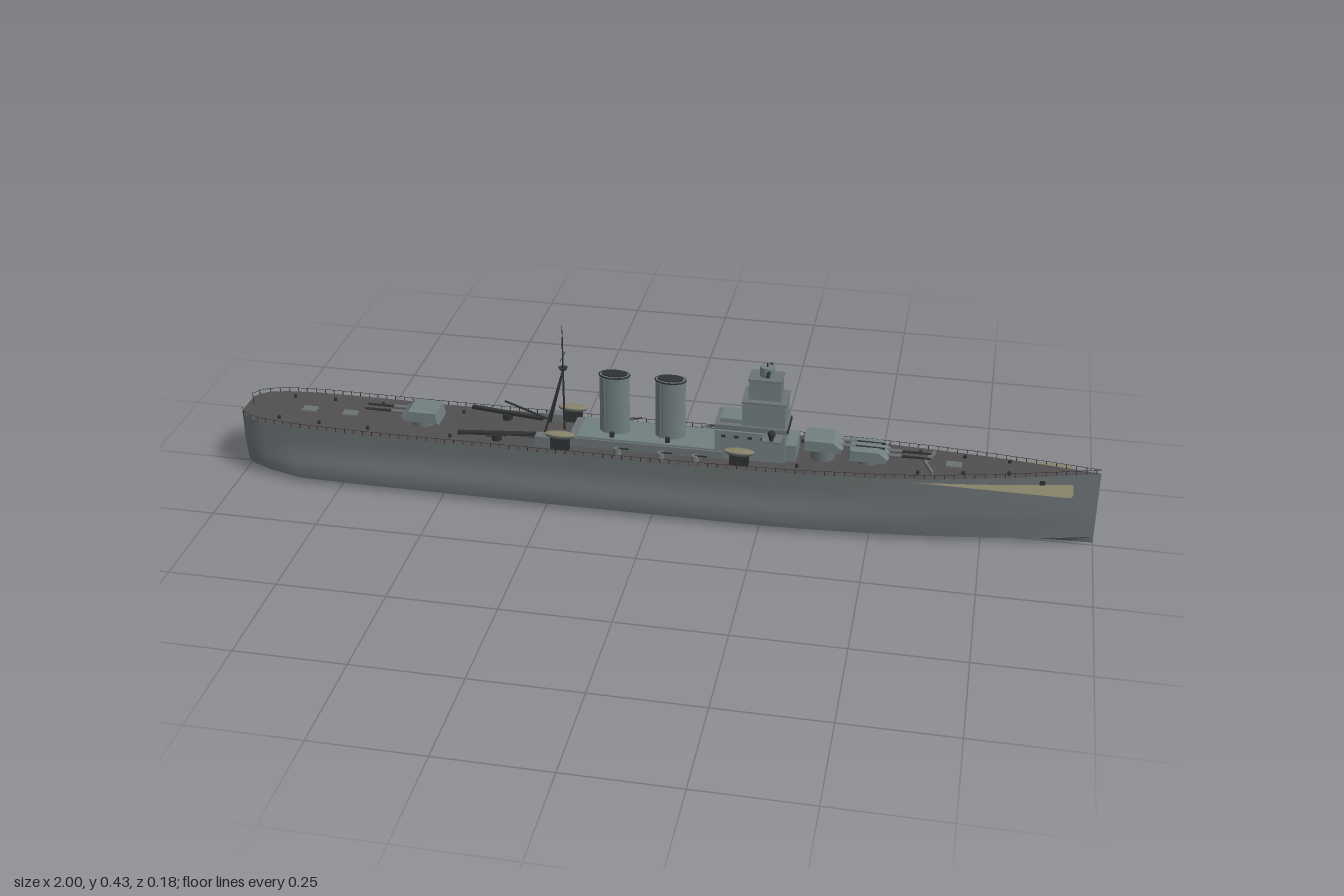
import * as THREE from 'three';
import { mergeGeometries, toCreasedNormals } from 'three/addons/utils/BufferGeometryUtils.js';

const mat = (name, color, side = THREE.FrontSide) => {
  const m = new THREE.MeshStandardMaterial({ color, side });
  m.name = name;
  return m;
};

// Deck half-width and deck height along the ship, as [x, value]
const WIDTH = [[-1, 0.035], [-0.99, 0.053], [-0.97, 0.067], [-0.93, 0.079], [-0.85, 0.088], [-0.7, 0.091],
  [0.2, 0.091], [0.35, 0.088], [0.5, 0.08], [0.62, 0.069], [0.75, 0.05], [0.88, 0.026], [1, 0.001]];
const HEIGHT = [[-1, 0.153], [-0.6, 0.15], [0, 0.153], [0.3, 0.158], [0.6, 0.165], [1, 0.183]];
function sample(table, x) {
  let i = 1;
  while (i < table.length - 1 && x > table[i][0]) i++;
  const [a, b] = [table[i - 1], table[i]];
  return a[1] + (b[1] - a[1]) * Math.min(1, Math.max(0, (x - a[0]) / (b[0] - a[0])));
}

export function createModel() {
  const ship = new THREE.Group();
  ship.name = 'warship';
  const hullGrey = mat('hullGrey', 0x6c7375, THREE.DoubleSide);
  const deckGrey = mat('deckGrey', 0x514f4f, THREE.DoubleSide);
  const paint = mat('superstructureGrey', 0x728082);
  const dark = mat('darkMetal', 0x2f3233);
  const tan = mat('tan', 0x86826a, THREE.DoubleSide);

  const add = (name, geo, m, x = 0, y = 0, z = 0) => {
    const mesh = new THREE.Mesh(geo, m);
    mesh.name = name;
    mesh.position.set(x, y, z);
    ship.add(mesh);
    return mesh;
  };
  const box = (name, m, x0, x1, y0, y1, hz, z = 0) =>
    add(name, new THREE.BoxGeometry(x1 - x0, y1 - y0, hz * 2), m, (x0 + x1) / 2, (y0 + y1) / 2, z);
  const rod = (name, m, a, b, r, r2 = r, sides = 8) => {
    const p = new THREE.Vector3(...a), q = new THREE.Vector3(...b), d = q.clone().sub(p);
    const mesh = add(name, new THREE.CylinderGeometry(r2, r, d.length(), sides), m, ...p.clone().add(q).multiplyScalar(0.5));
    mesh.quaternion.setFromUnitVectors(new THREE.Vector3(0, 1, 0), d.normalize());
    return mesh;
  };

  // Hull: one cross-section per station, from deck edge round the keel
  const xs = WIDTH.map(s => s[0]);
  for (let x = -0.55; x < 0.2; x += 0.15) xs.push(x);
  xs.push(0.28, 0.43, 0.56, 0.68, 0.82, 0.94);
  xs.sort((a, b) => a - b);
  const section = x => {
    const w = sample(WIDTH, x), h = sample(HEIGHT, x);
    const bow = Math.max(0, (x - 0.3) / 0.7), stern = Math.max(0, (-0.85 - x) / 0.15);
    const notch = 0.06 * (1 - bow) * (1 - stern), low = 1 - 0.2 * bow - 0.15 * stern;
    const lift = 0.012 * stern + 0.006 * Math.max(0, (x - 0.9) / 0.1);
    const half = [[w, h], [w * (1 - notch * 0.5), 0.12], [w * (1 - notch), 0.078], [w * (1 - 0.3 * (1 - low)), 0.063],
      [w * low, 0.028 + lift], [w * low * 0.96, 0.013 + lift], [0, lift * 0.5]];
    return [...half, ...half.slice(0, -1).reverse().map(([z, y]) => [-z, y])];
  };
  const pos = [], idx = [], n = 13;
  xs.forEach((x, i) => {
    section(x).forEach(([z, y]) => pos.push(x, y, z));
    if (i) for (let j = 0; j < n - 1; j++) {
      const a = (i - 1) * n + j, b = i * n + j;
      idx.push(a, a + 1, b, b, a + 1, b + 1);
    }
  });
  for (let j = 1; j < n - 1; j++) idx.push(0, j + 1, j); // flat stern
  const hullGeo = new THREE.BufferGeometry();
  hullGeo.setAttribute('position', new THREE.Float32BufferAttribute(pos, 3));
  hullGeo.setIndex(idx);
  add('hull', toCreasedNormals(hullGeo, 0.6), hullGrey);

  // Main deck, closing the hull top
  const dp = [], di = [];
  xs.forEach((x, i) => {
    const w = sample(WIDTH, x), h = sample(HEIGHT, x);
    dp.push(x, h, w, x, h, -w);
    if (i) di.push(2 * i - 2, 2 * i, 2 * i - 1, 2 * i, 2 * i + 1, 2 * i - 1);
  });
  const deckGeo = new THREE.BufferGeometry();
  deckGeo.setAttribute('position', new THREE.Float32BufferAttribute(dp, 3));
  deckGeo.setIndex(di);
  deckGeo.computeVertexNormals();
  add('mainDeck', deckGeo, deckGrey);

  // Tan lower deck plate showing beside the bow
  const plate = new THREE.Shape();
  plate.moveTo(0.45, -0.071).lineTo(0.925, -0.073).quadraticCurveTo(0.942, -0.073, 0.942, -0.056);
  plate.lineTo(0.942, 0.056).quadraticCurveTo(0.942, 0.073, 0.925, 0.073).lineTo(0.45, 0.071);
  add('bowPlate', new THREE.ShapeGeometry(plate).rotateX(-Math.PI / 2), tan, 0, 0.156);

  // Deck-edge railings
  const posts = [];
  for (const s of [1, -1]) {
    for (let x = -0.99; x < 1; x += 0.022) {
      posts.push(new THREE.BoxGeometry(0.0015, 0.011, 0.0015)
        .translate(x, sample(HEIGHT, x) + 0.005, s * (sample(WIDTH, x) - 0.001)));
    }
    const line = xs.map(x => new THREE.Vector3(x, sample(HEIGHT, x) + 0.01, s * (sample(WIDTH, x) - 0.001)));
    add('railing', new THREE.TubeGeometry(new THREE.CatmullRomCurve3(line), 90, 0.0006, 4), dark);
  }
  add('railingPosts', mergeGeometries(posts), dark);

  // Midship deckhouse
  box('deckhouse', hullGrey, -0.2, 0.16, 0.148, 0.174, 0.05);
  box('deckhouseRoof', paint, -0.18, 0.15, 0.174, 0.178, 0.046);
  box('aftDeckhouse', deckGrey, -0.32, -0.2, 0.148, 0.166, 0.03);

  // Funnels with dark caps
  for (const x of [-0.1, 0.03]) {
    add('funnel', new THREE.CylinderGeometry(0.035, 0.035, 0.145, 28), paint, x, 0.25).scale.z = 0.58;
    add('funnelTop', new THREE.CylinderGeometry(0.03, 0.03, 0.003, 28), dark, x, 0.3235).scale.z = 0.55;
    const rim = add('funnelRim', new THREE.TorusGeometry(0.035, 0.002, 6, 28).rotateX(Math.PI / 2), dark, x, 0.321);
    rim.scale.z = 0.6;
    for (const s of [1, -1]) {
      rod('steamPipe', hullGrey, [x - 0.02, 0.175, s * 0.019], [x - 0.02, 0.318, s * 0.019], 0.002);
      box('funnelVent', dark, x - 0.005, x + 0.005, 0.178, 0.19, 0.004, s * 0.035);
    }
  }

  // Bridge tower
  box('bridgeBase', paint, 0.14, 0.3, 0.15, 0.228, 0.046);
  box('bridgeRoof', hullGrey, 0.138, 0.303, 0.228, 0.24, 0.041);
  box('bridgeWindows', dark, 0.302, 0.306, 0.229, 0.237, 0.038);
  box('bridgeAft', paint, 0.15, 0.2, 0.238, 0.25, 0.028);
  box('towerMiddle', paint, 0.2, 0.298, 0.24, 0.3, 0.036);
  box('towerUpper', paint, 0.212, 0.285, 0.3, 0.352, 0.024);
  box('towerLedge', hullGrey, 0.198, 0.3, 0.297, 0.302, 0.038);
  box('towerTopLedge', hullGrey, 0.21, 0.287, 0.349, 0.353, 0.026);
  add('director', new THREE.CylinderGeometry(0.017, 0.017, 0.024, 12), paint, 0.25, 0.364).scale.z = 0.75;
  rod('rangefinder', dark, [0.255, 0.367, -0.032], [0.255, 0.367, 0.032], 0.004);
  rod('directorMast', dark, [0.25, 0.37, 0], [0.25, 0.385, 0], 0.002);
  box('lowerTierFront', paint, 0.3, 0.325, 0.157, 0.2, 0.036);
  for (const s of [1, -1]) {
    for (let i = 0; i < 5; i++)
      box('sideWindow', dark, 0.155 + i * 0.03, 0.165 + i * 0.03, 0.212, 0.218, 0.001, s * 0.0465);
    box('bridgeWing', hullGrey, 0.25, 0.295, 0.222, 0.226, 0.016, s * 0.058);
    rod('sideDirectorStand', dark, [0.272, 0.225, s * 0.067], [0.272, 0.238, s * 0.067], 0.005);
    add('sideDirector', new THREE.SphereGeometry(0.009, 12, 8), dark, 0.272, 0.242, s * 0.067);
  }

  // Main turrets with twin barrels
  const turret = (x, y, dir, base) => {
    const shape = new THREE.Shape();
    shape.moveTo(-0.042, 0).lineTo(0.04, 0).lineTo(0.044, 0.01).lineTo(0.025, 0.026).lineTo(-0.038, 0.026);
    const geo = new THREE.ExtrudeGeometry(shape, { depth: 0.054, bevelEnabled: true, bevelSize: 0.003, bevelThickness: 0.005, bevelSegments: 1 });
    geo.translate(0, 0, -0.027);
    if (dir < 0) geo.rotateY(Math.PI);
    add('turret', geo, paint, x, y);
    rod('barbette', hullGrey, [x, base, 0], [x, y, 0], 0.028, 0.028, 20);
    for (const s of [1, -1]) {
      rod('gunSleeve', hullGrey, [x + dir * 0.036, y + 0.013, s * 0.011], [x + dir * 0.075, y + 0.013, s * 0.011], 0.0045);
      rod('gunBarrel', dark, [x + dir * 0.07, y + 0.013, s * 0.011], [x + dir * 0.14, y + 0.013, s * 0.011], 0.0034, 0.0025);
    }
  };
  turret(0.485, 0.173, 1, 0.155);
  turret(0.382, 0.188, 1, 0.15);
  turret(-0.56, 0.165, -1, 0.145);

  // Tripod mast
  rod('mast', dark, [-0.22, 0.15, 0], [-0.22, 0.405, 0], 0.003, 0.0015);
  rod('topmast', dark, [-0.22, 0.4, 0], [-0.22, 0.434, 0], 0.0007);
  add('mastPlatform', new THREE.CylinderGeometry(0.011, 0.008, 0.005, 10), dark, -0.22, 0.325);
  rod('yard', dark, [-0.22, 0.355, -0.025], [-0.22, 0.355, 0.025], 0.0008);
  for (const s of [1, -1]) rod('mastLeg', dark, [-0.265, 0.15, s * 0.03], [-0.22, 0.32, 0], 0.0025);

  for (const s of [1, -1]) {
    // Aircraft catapult, crane arm and deck guns
    const c = box('catapult', dark, -0.46, -0.28, 0.164, 0.171, 0.005, s * 0.05);
    c.rotation.y = s * 0.14;
    rod('catapultBase', dark, [-0.37, 0.148, s * 0.05], [-0.37, 0.165, s * 0.05], 0.012);
    rod('craneArm', dark, [-0.27, 0.17, s * 0.035], [-0.385, 0.178, s * 0.085], 0.0025);
    box('craneHouse', hullGrey, -0.275, -0.235, 0.15, 0.178, 0.012, s * 0.055);
    // Ship's boats with tan covers
    for (const x of [-0.215, 0.2]) {
      add('boat', new THREE.SphereGeometry(1, 16, 6, 0, Math.PI * 2, Math.PI / 2, Math.PI / 2), hullGrey, x, 0.19, s * 0.066)
        .scale.set(0.036, 0.012, 0.013);
      add('boatCover', new THREE.SphereGeometry(1, 16, 6, 0, Math.PI * 2, 0, Math.PI / 2), tan, x, 0.19, s * 0.066)
        .scale.set(0.036, 0.006, 0.013);
      box('boatCradle', dark, x - 0.022, x + 0.022, 0.15, 0.181, 0.006, s * 0.066);
    }
    // Secondary guns
    for (const x of [-0.08, 0.02, 0.1]) {
      rod('deckGunMount', hullGrey, [x, 0.15, s * 0.069], [x, 0.17, s * 0.069], 0.01, 0.008, 12);
      rod('deckGunBarrel', dark, [x, 0.169, s * 0.069], [x + 0.028, 0.173, s * 0.075], 0.0018);
    }
    // Bollards, vents and anchors
    for (const x of [-0.9, -0.8, -0.68, -0.48, 0.33, 0.6, 0.7, 0.8]) {
      const h = sample(HEIGHT, x);
      rod('bollard', dark, [x, h, s * sample(WIDTH, x) * 0.65], [x, h + 0.007, s * sample(WIDTH, x) * 0.65], 0.004);
    }
    box('anchor', dark, 0.868, 0.88, 0.152, 0.166, 0.003, s * 0.026);
  }
  // Hatches, breakwater and end staffs
  for (const x of [-0.86, -0.76, 0.66]) box('hatch', hullGrey, x, x + 0.035, 0.148, sample(HEIGHT, x) + 0.005, 0.012);
  for (const s of [1, -1]) box('breakwater', hullGrey, 0.62, 0.625, 0.16, 0.175, 0.026, s * 0.024).rotation.y = s * 0.4;
  rod('sternStaff', dark, [-0.985, 0.15, 0], [-0.985, 0.185, 0], 0.0008);
  rod('bowStaff', dark, [0.985, 0.18, 0], [0.985, 0.193, 0], 0.0008);

  ship.position.z = -0.006;
  const model = new THREE.Group();
  model.name = 'model';
  model.add(ship);
  return model;
}
